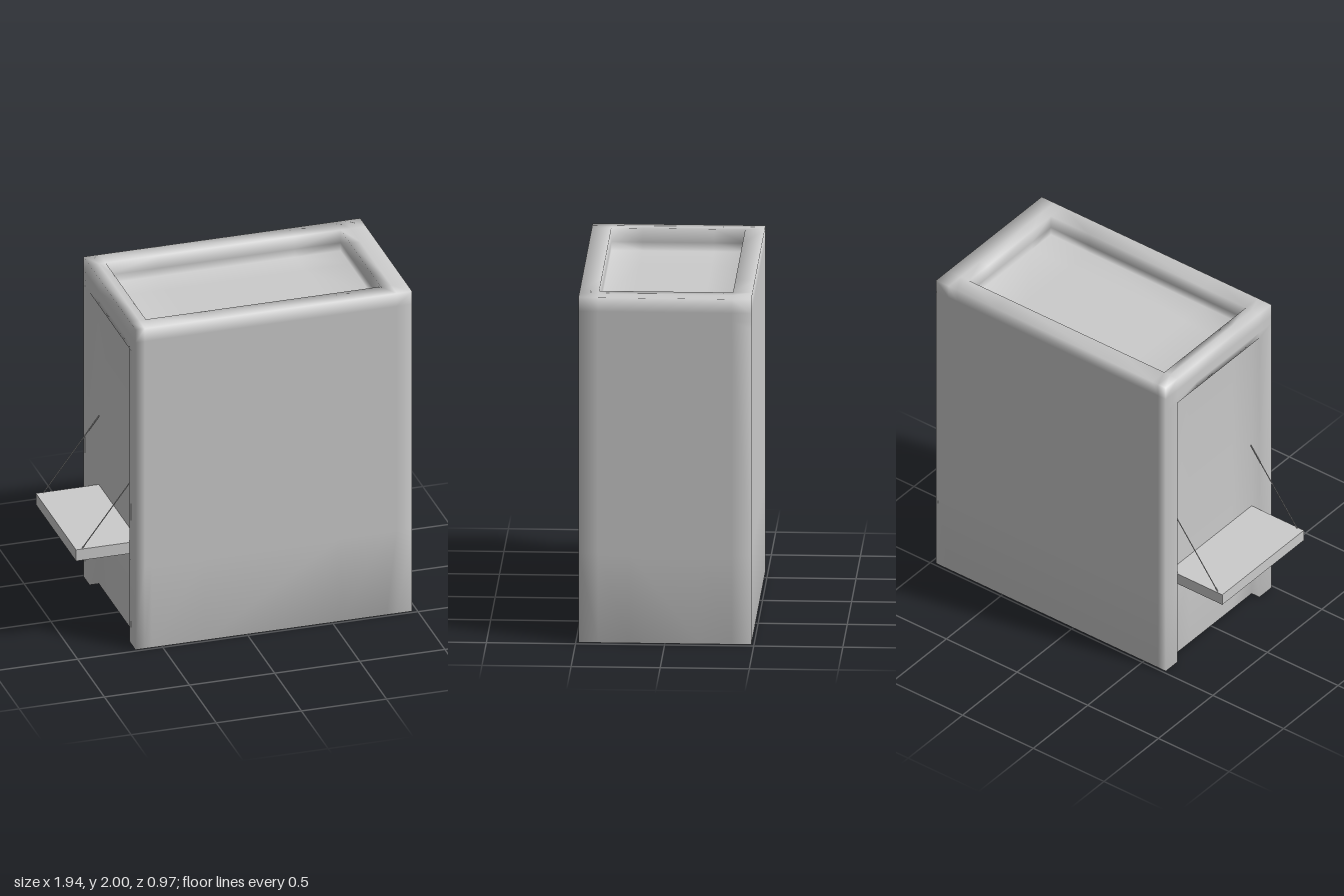
import * as THREE from 'three';
import { mergeVertices } from 'three/addons/utils/BufferGeometryUtils.js';

const material = new THREE.MeshStandardMaterial({ color: 0xcccccc });

// Closed, smooth-shaded surface around the filled cells of an uneven grid
function gridSolid(lines, filled) {
  const positions = [];
  const count = lines.map((l) => l.length - 1);
  const isFilled = (cell) => {
    if (cell.some((c, a) => c < 0 || c >= count[a])) return false;
    return filled(...cell.map((c, a) => (lines[a][c] + lines[a][c + 1]) / 2));
  };
  const addFace = (cell, axis, side) => {
    const u = (axis + 1) % 3, v = (axis + 2) % 3;
    const corner = (du, dv) => {
      const p = [0, 0, 0];
      p[axis] = lines[axis][cell[axis] + side];
      p[u] = lines[u][cell[u] + du];
      p[v] = lines[v][cell[v] + dv];
      return p;
    };
    const a = corner(0, 0), b = corner(1, 0), c = corner(1, 1), d = corner(0, 1);
    const order = side ? [a, b, c, a, c, d] : [a, c, b, a, d, c];
    order.forEach((p) => positions.push(...p));
  };
  for (let i = 0; i < count[0]; i++)
    for (let j = 0; j < count[1]; j++)
      for (let k = 0; k < count[2]; k++) {
        const cell = [i, j, k];
        if (!isFilled(cell)) continue;
        for (let axis = 0; axis < 3; axis++)
          for (const side of [0, 1]) {
            const next = [...cell];
            next[axis] += side ? 1 : -1;
            if (!isFilled(next)) addFace(cell, axis, side);
          }
      }
  const soup = new THREE.BufferGeometry();
  soup.setAttribute('position', new THREE.Float32BufferAttribute(positions, 3));
  const geometry = mergeVertices(soup);
  geometry.computeVertexNormals();
  return geometry;
}

function addPart(group, name, geometry) {
  const mesh = new THREE.Mesh(geometry, material);
  mesh.name = name;
  group.add(mesh);
  return mesh;
}

export function createModel() {
  const group = new THREE.Group();
  group.name = 'cabinetWithShelf';

  // Cabinet: a tray sunk into the top and an alcove in one end, open to the floor
  const inTray = (x, y, z) => y > 1.87 && x > -0.56 && x < 0.82 && Math.abs(z) < 0.375;
  const inAlcove = (x, y, z) => x < -0.6 && y < 1.83 && Math.abs(z) < 0.375;
  addPart(group, 'cabinet', gridSolid(
    [
      [-0.655, -0.6, -0.56, -0.25, 0.55, 0.82, 0.88, 0.97],
      [0, 0.52, 1.83, 1.87, 1.92, 2],
      [-0.485, -0.375, -0.2, 0.2, 0.375, 0.485],
    ],
    (x, y, z) => !inTray(x, y, z) && !inAlcove(x, y, z),
  ));

  // Fold-down shelf, hinged at the back of the alcove
  const shelf = addPart(group, 'shelf', new THREE.BoxGeometry(0.37, 0.07, 0.75));
  shelf.position.set(-0.785, 0.585, 0);

  // Thin support cords
  for (const z of [-0.365, 0.365]) {
    const path = new THREE.LineCurve3(
      new THREE.Vector3(-0.93, 0.62, z),
      new THREE.Vector3(-0.6, 1.056, z),
    );
    addPart(group, z > 0 ? 'frontCord' : 'backCord', new THREE.TubeGeometry(path, 1, 0.003, 6));
  }
  return group;
}
